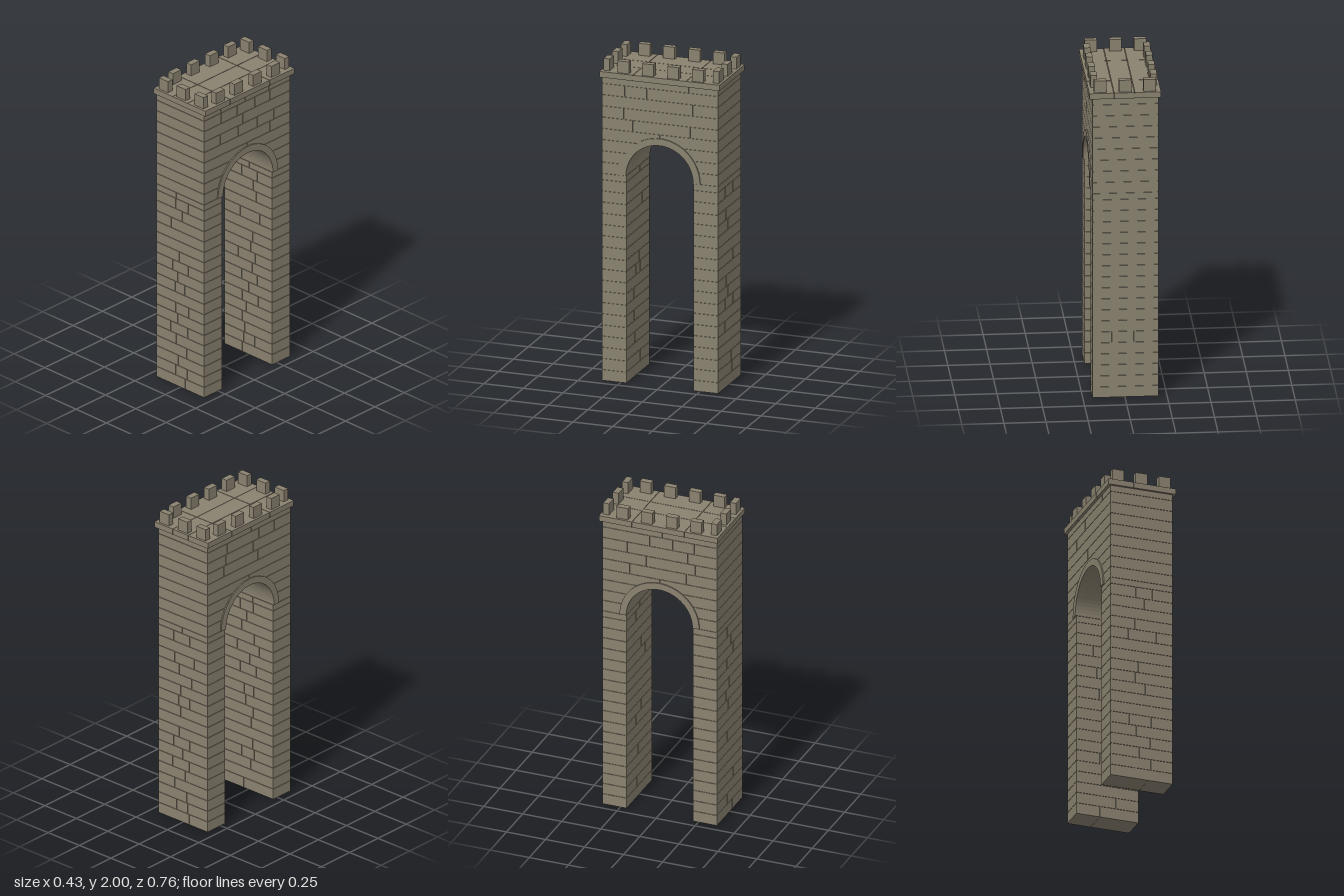
import * as THREE from 'three';

export function createModel() {
  const root = new THREE.Group();
  root.name = 'stoneArchTower';
  const stone = new THREE.MeshStandardMaterial({ color: 0x8a8270 });
  stone.name = 'stone';

  // Body sits a hair off centre under the cap
  const body = new THREE.Group();
  body.name = 'body';
  body.position.set(-0.0025, 0, 0.0025);
  root.add(body);

  const W = 0.1955, D = 0.3665, INNER = 0.2125, SPRING = 1.29, TOP = 1.89;
  const GAP = 0.003, INSET = 0.004;

  let seed = 7;
  const rand = () => (seed = (seed * 16807) % 2147483647) / 2147483647;

  function add(parent, name, geometry) {
    const mesh = new THREE.Mesh(geometry, stone);
    mesh.name = name;
    parent.add(mesh);
    return mesh;
  }

  // Box given by its limits
  function block(parent, name, x0, x1, y0, y1, z0, z1) {
    const mesh = add(parent, name, new THREE.BoxGeometry(x1 - x0, y1 - y0, z1 - z0));
    mesh.position.set((x0 + x1) / 2, (y0 + y1) / 2, (z0 + z1) / 2);
  }

  // Profile drawn across z and y, extruded along x
  function slab(parent, name, points, halfWidth) {
    const geometry = new THREE.ExtrudeGeometry(new THREE.Shape(points), {
      depth: halfWidth * 2, bevelEnabled: false,
    });
    geometry.translate(0, 0, -halfWidth);
    geometry.rotateY(Math.PI / 2);
    add(parent, name, geometry);
  }

  const arc = (r, n, reverse) => Array.from({ length: n + 1 }, (_, i) => {
    const a = Math.PI * (reverse ? 1 - i / n : i / n);
    return new THREE.Vector2(r * Math.cos(a), SPRING + r * Math.sin(a));
  });

  // Split a run into bricks with jittered joints
  function splits(a, b, count) {
    const step = (b - a) / count;
    const cuts = [a - GAP / 2];
    for (let i = 1; i < count; i++) cuts.push(a + step * (i + (rand() - 0.5) * 0.5));
    cuts.push(b + GAP / 2);
    return cuts;
  }

  // Two legs: recessed core with brick courses around it
  const LEG_COURSE = 1.25 / 18;
  for (const side of [-1, 1]) {
    const leg = new THREE.Group();
    leg.name = side > 0 ? 'frontLeg' : 'backLeg';
    body.add(leg);
    const z0 = side > 0 ? INNER : -D, z1 = side > 0 ? D : -INNER;
    block(leg, 'legCore', -W + INSET, W - INSET, 0.002, SPRING + 0.01, z0 + INSET, z1 - INSET);
    for (let i = 0; i <= 18; i++) {
      const y0 = i * LEG_COURSE, y1 = i === 18 ? SPRING : y0 + LEG_COURSE;
      const cuts = splits(-W, W, 2 + (i % 2));
      for (let j = 0; j < cuts.length - 1; j++) {
        block(leg, 'legBrick', cuts[j] + GAP / 2, cuts[j + 1] - GAP / 2,
          y0, y1 - GAP, z0, z1);
      }
    }
  }

  // Upper wall core with the arch opening cut out
  const upper = new THREE.Group();
  upper.name = 'upperWall';
  body.add(upper);
  const E = D - INSET;
  slab(upper, 'wallCore', [
    new THREE.Vector2(E, SPRING), new THREE.Vector2(E, TOP),
    new THREE.Vector2(-E, TOP), new THREE.Vector2(-E, SPRING),
    ...arc(0.24, 32, true),
  ], W - INSET);

  // Upper courses: curved beside the arch, straight above it
  const R = 0.236;
  for (let i = 0; i < 9; i++) {
    const y0 = SPRING + i * 0.07;
    const y1 = Math.min(y0 + 0.07, TOP) - GAP;
    if (i < 4) {
      for (const s of [-1, 1]) {
        const points = [new THREE.Vector2(s * D, y0), new THREE.Vector2(s * D, y1)];
        for (let k = 0; k <= 12; k++) {
          const y = y1 + (y0 - y1) * k / 12;
          const u = Math.sqrt(Math.max(0, R * R - (y - SPRING) ** 2));
          points.push(new THREE.Vector2(s * Math.max(u, GAP / 2), y));
        }
        slab(upper, 'archSideCourse', points, W);
      }
    } else {
      const cuts = splits(-D, D, 4 + (i % 2));
      for (let j = 0; j < cuts.length - 1; j++) {
        block(upper, 'wallBrick', -W, W, y0, y1, cuts[j] + GAP / 2, cuts[j + 1] - GAP / 2);
      }
    }
  }

  // Arch ring, slightly proud of the wall faces
  slab(body, 'archRing', [...arc(0.255, 32, false), ...arc(INNER, 32, true)], 0.203);

  // Cap of nine paving slabs over a thin bed
  const cap = new THREE.Group();
  cap.name = 'cap';
  root.add(cap);
  const xs = [-0.215, -0.057, 0.066, 0.2135], zs = [-0.382, -0.169, 0.167, 0.38];
  block(cap, 'capBed', -0.21, 0.21, 1.892, 1.92, -0.377, 0.375);
  for (let i = 0; i < 3; i++) {
    for (let j = 0; j < 3; j++) {
      block(cap, 'capSlab', xs[i] + GAP / 2, xs[i + 1] - GAP / 2, TOP, 1.926,
        zs[j] + GAP / 2, zs[j + 1] - GAP / 2);
    }
  }

  // Battlements around the edge
  const battlements = new THREE.Group();
  battlements.name = 'battlements';
  root.add(battlements);
  for (const x of [-0.147, -0.001, 0.146]) {
    for (const z of [-0.347, 0.344]) {
      block(battlements, 'endMerlon', x - 0.0365, x + 0.0365, 1.925, 2, z - 0.019, z + 0.019);
    }
  }
  for (const z of [-0.237, -0.081, 0.078, 0.234]) {
    for (const x of [-0.179, 0.177]) {
      block(battlements, 'sideMerlon', x - 0.0195, x + 0.0195, 1.925, 2, z - 0.036, z + 0.036);
    }
  }
  return root;
}
